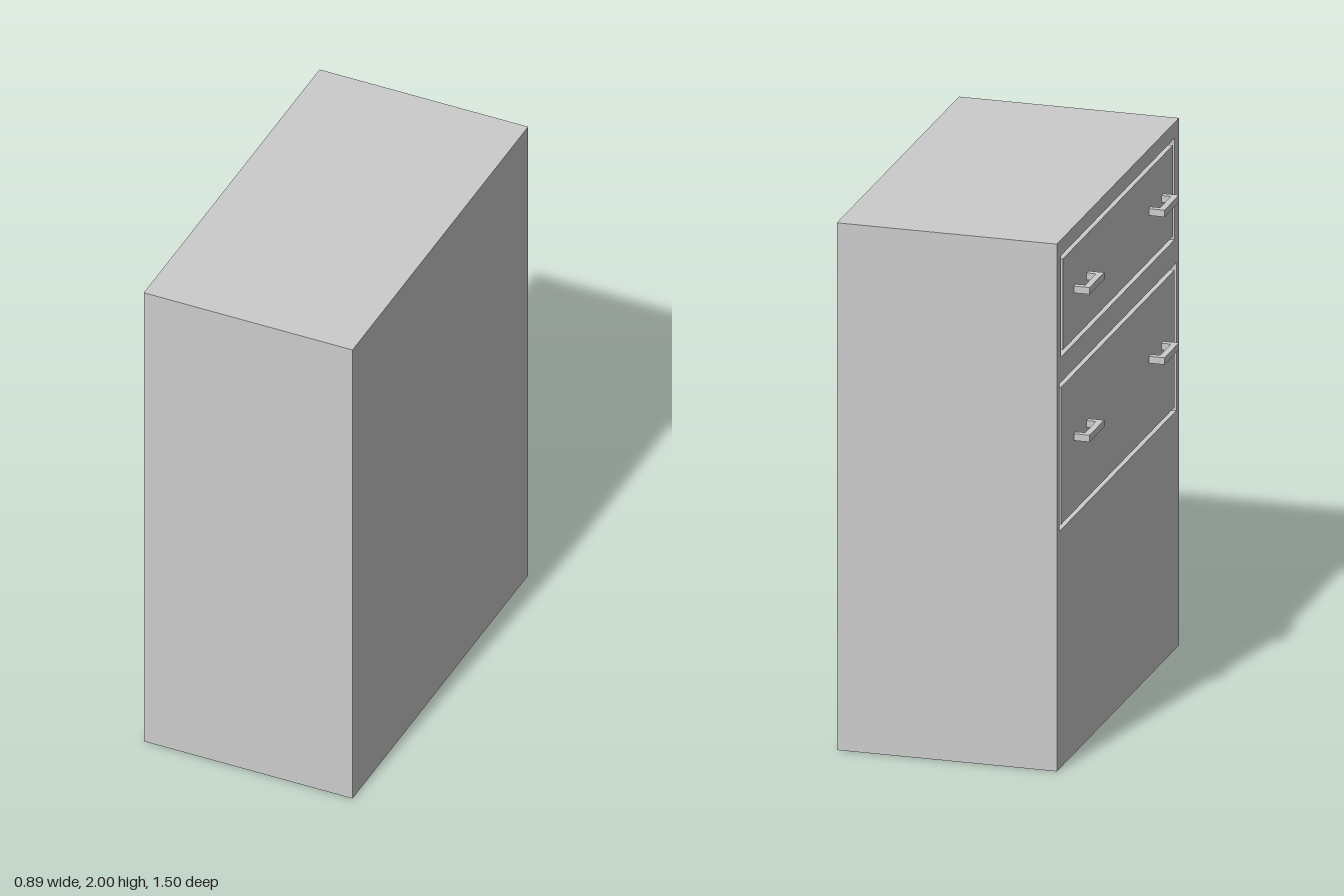
import * as THREE from 'three';

const FACE = -0.385, BACK = 0.443, HALF = 0.75, HEIGHT = 2;
const CAVITY = 0.72, GAP = 0.02;

// Openings in the drawer side: half width along z, bottom and top
const openings = [
  { name: 'upperDrawer', half: 0.697, bottom: 1.555, top: 1.94, handleY: 1.761 },
  { name: 'lowerDrawer', half: 0.717, bottom: 0.9, top: 1.46, handleY: 1.201 },
];
const handleCentres = [-0.45, 0.47];

export function createModel() {
  const model = new THREE.Group();
  model.name = 'drawerCabinet';
  const material = new THREE.MeshStandardMaterial({ color: 0xcccccc, flatShading: true });

  const add = (parent, name, geometry, x = 0, y = 0, z = 0) => {
    const mesh = new THREE.Mesh(geometry, material);
    mesh.name = name;
    mesh.position.set(x, y, z);
    parent.add(mesh);
  };
  const outline = (points) => points.map(([a, b]) => new THREE.Vector2(a, b));
  const rectangle = (half, bottom, top) =>
    outline([[-half, bottom], [half, bottom], [half, top], [-half, top]]);

  // Carcass with two drawer cavities, extruded towards -x
  const carcass = new THREE.Shape(rectangle(HALF, 0, HEIGHT));
  for (const o of openings) carcass.holes.push(new THREE.Path(rectangle(o.half, o.bottom, o.top)));
  const carcassGeometry = new THREE.ExtrudeGeometry(carcass, { depth: CAVITY, bevelEnabled: false });
  carcassGeometry.rotateY(-Math.PI / 2);
  add(model, 'carcass', carcassGeometry, FACE + CAVITY);

  // Closed panel behind the cavities
  const panel = BACK - FACE - CAVITY;
  add(model, 'rearPanel', new THREE.BoxGeometry(panel, HEIGHT, HALF * 2), BACK - panel / 2, HEIGHT / 2);

  // U-shaped pull, drawn in plan and extruded through its height
  const pullHeight = 0.026;
  const pull = new THREE.Shape(outline([
    [0, -0.09], [0, -0.066], [-0.035, -0.066], [-0.035, 0.066],
    [0, 0.066], [0, 0.09], [-0.059, 0.09], [-0.059, -0.09],
  ]));
  const pullGeometry = new THREE.ExtrudeGeometry(pull, { depth: pullHeight, bevelEnabled: false });
  pullGeometry.rotateX(Math.PI / 2).translate(0, pullHeight / 2, 0);

  // Flush drawers with a gap all round, two pulls each
  for (const o of openings) {
    const drawer = new THREE.Group();
    drawer.name = o.name;
    model.add(drawer);
    const depth = CAVITY - GAP;
    add(drawer, 'drawerBox',
      new THREE.BoxGeometry(depth, o.top - o.bottom - GAP * 2, (o.half - GAP) * 2),
      FACE + depth / 2, (o.top + o.bottom) / 2);
    for (const z of handleCentres) add(drawer, 'handle', pullGeometry, FACE, o.handleY, z);
  }

  return model;
}
